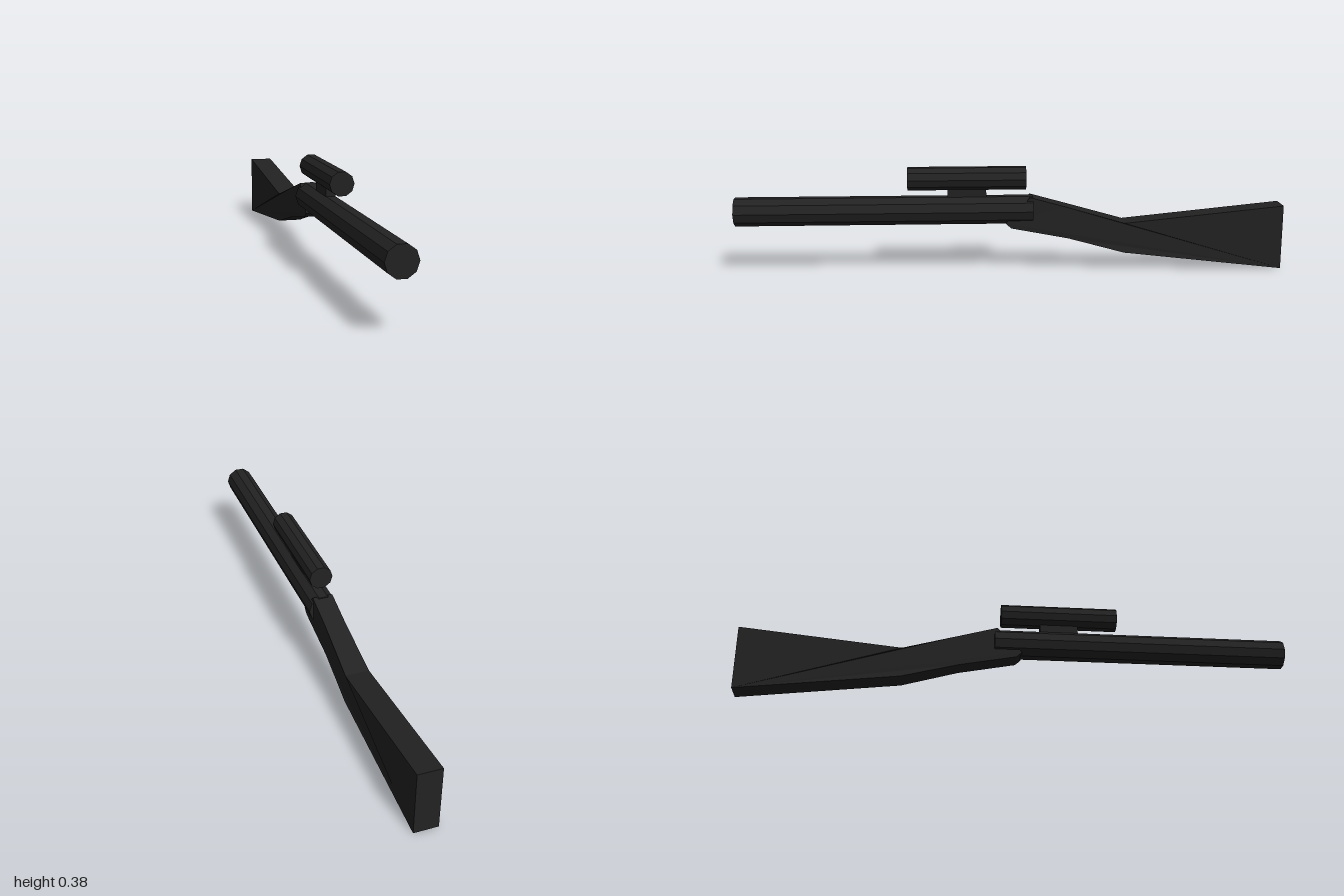
import * as THREE from 'three';

export function createModel() {
  const model = new THREE.Group();
  const material = new THREE.MeshStandardMaterial({ color: 0x222222, flatShading: true });

  const add = (name, geometry) => {
    const mesh = new THREE.Mesh(geometry, material);
    mesh.name = name;
    model.add(mesh);
    return mesh;
  };

  // Ten-sided bar along z, with a flat on top
  const tube = (name, radius, y, zBack, zFront) => {
    const geometry = new THREE.CylinderGeometry(radius, radius, zFront - zBack, 10);
    geometry.rotateY(Math.PI / 2).rotateX(Math.PI / 2);
    add(name, geometry).position.set(0, y, (zFront + zBack) / 2);
  };

  tube('barrel', 0.053, 0.226, -0.08, 1);
  tube('scope', 0.043, 0.343, -0.055, 0.375);

  // Block between barrel and scope
  add('scopeMount', new THREE.BoxGeometry(0.034, 0.05, 0.14)).position.set(0, 0.29, 0.16);

  // Stock: side profile in (z, y), extruded across x
  const profile = [
    [-1, 0], [-0.415, 0.067], [-0.21, 0.122], [0, 0.162], [0.02, 0.18],
    [-0.07, 0.276], [-0.2, 0.24], [-0.415, 0.178], [-1, 0.237],
  ];
  const shape = new THREE.Shape(profile.map(([z, y]) => new THREE.Vector2(z, y)));
  const stock = new THREE.ExtrudeGeometry(shape, { depth: 2, bevelEnabled: false });
  stock.translate(0, 0, -1).rotateY(-Math.PI / 2);

  // Narrow the stock slightly from the wrist forwards
  const p = stock.attributes.position;
  for (let i = 0; i < p.count; i++) {
    const t = THREE.MathUtils.clamp((p.getZ(i) + 0.415) / 0.215, 0, 1);
    p.setX(i, p.getX(i) * THREE.MathUtils.lerp(0.043, 0.037, t));
  }
  stock.computeVertexNormals();
  add('stock', stock);

  return model;
}
